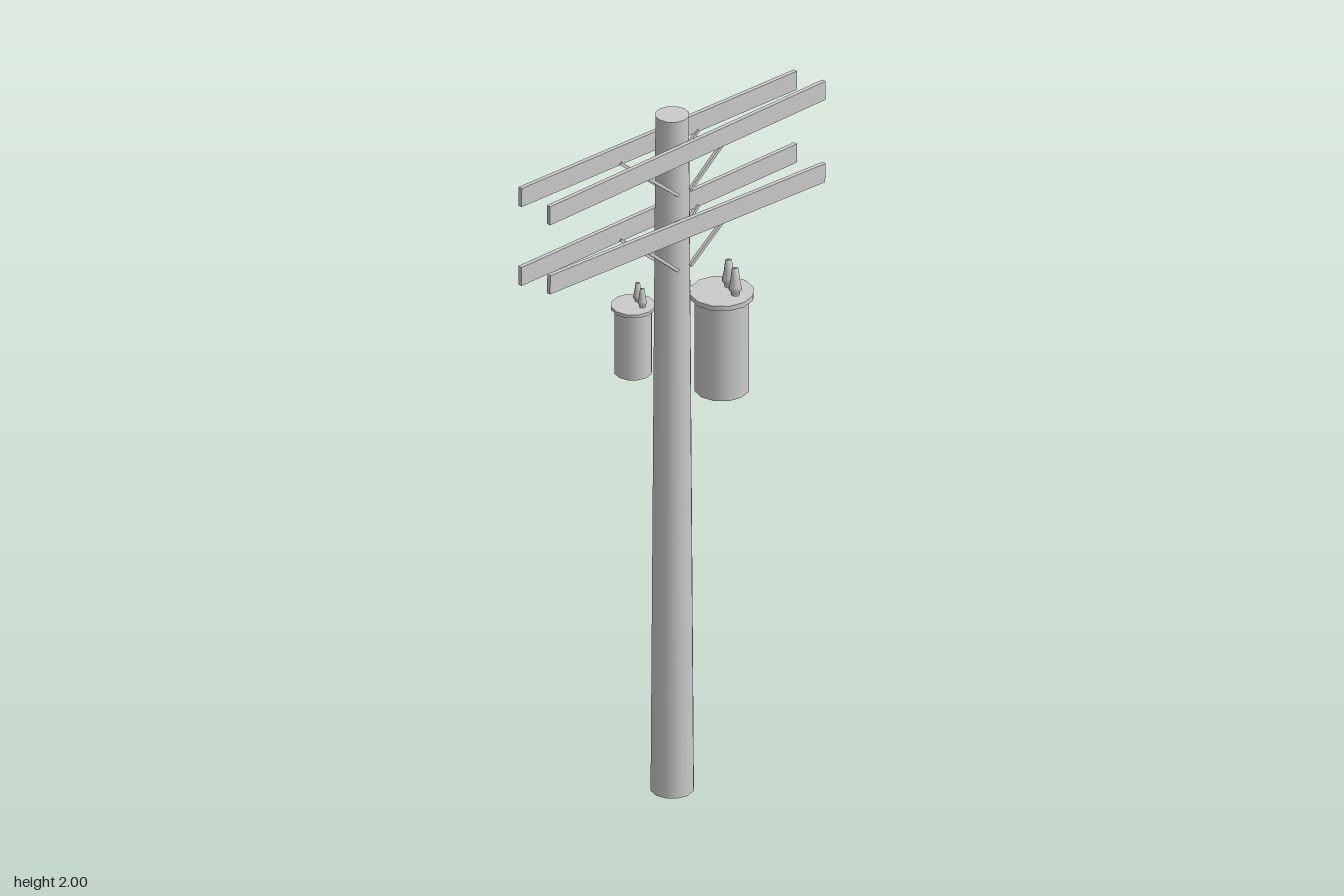
import * as THREE from 'three';

const SIDES = 12;
const POLE_Z = -0.01;

export function createModel() {
  const model = new THREE.Group();
  model.name = 'utilityPole';
  const grey = new THREE.MeshStandardMaterial({ color: 0xcccccc });
  const open = new THREE.MeshStandardMaterial({ color: 0xcccccc, side: THREE.DoubleSide });

  const add = (parent, name, geometry, x, y, z, material = grey) => {
    const mesh = new THREE.Mesh(geometry, material);
    mesh.name = name;
    mesh.position.set(x, y, z);
    parent.add(mesh);
    return mesh;
  };

  // Tapered pole, closed on top and open at the foot
  add(model, 'pole', new THREE.CylinderGeometry(0.045, 0.058, 2, SIDES, 1, true), -0.001, 1, POLE_Z, open);
  add(model, 'poleTop', new THREE.CircleGeometry(0.045, SIDES).rotateX(-Math.PI / 2), -0.001, 2, POLE_Z);

  // Thin square bar between two points
  const bar = (name, from, to, width) => {
    const a = new THREE.Vector3(...from), b = new THREE.Vector3(...to);
    const mesh = add(model, name, new THREE.BoxGeometry(width, width, a.distanceTo(b)), 0, 0, 0);
    mesh.position.copy(a).add(b).multiplyScalar(0.5);
    mesh.lookAt(b);
  };

  // Crossarms with centre heights at the -x and +x ends, each with two braces
  const arms = [
    { name: 'upperFront', side: 1, yRight: 1.907, yLeft: 1.907 },
    { name: 'upperBack', side: -1, yRight: 1.918, yLeft: 1.894 },
    { name: 'lowerFront', side: 1, yRight: 1.702, yLeft: 1.663 },
    { name: 'lowerBack', side: -1, yRight: 1.684, yLeft: 1.678 },
  ];
  for (const { name, side, yRight, yLeft } of arms) {
    const y = (yRight + yLeft) / 2;
    const slope = (yLeft - yRight) / 0.98;
    const z = side > 0 ? 0.042 : -0.066;
    const arm = add(model, name + 'Crossarm', new THREE.BoxGeometry(0.988, 0.055, 0.012), 0, y, z);
    arm.rotation.z = Math.atan(slope);
    for (const s of [-1, 1]) {
      bar(name + 'Brace',
        [s * 0.14, y - 0.022 + s * 0.14 * slope, z - side * 0.005],
        [s * 0.022, y - 0.122 + s * 0.022 * slope, POLE_Z + side * 0.043], 0.009);
    }
  }

  // Transformer can with lid and two bushings; origin at the bottom centre
  const bushing = new THREE.LatheGeometry(
    [[0.011, 0], [0.012, 0.012], [0.018, 0.018], [0.016, 0.03], [0.013, 0.045], [0.009, 0.078], [0, 0.078]]
      .map(([r, y]) => new THREE.Vector2(r, y)), 10);
  const addTransformer = (name, x, y, z, scale) => {
    const can = new THREE.Group();
    can.name = name;
    can.position.set(x, y, z);
    can.scale.setScalar(scale);
    add(can, 'tank', new THREE.CylinderGeometry(0.073, 0.073, 0.277, SIDES), 0, 0.1385, 0);
    add(can, 'lid', new THREE.CylinderGeometry(0.085, 0.085, 0.014, SIDES), 0, 0.281, 0);
    add(can, 'bushing', bushing, 0.032, 0.286, -0.008);
    add(can, 'bushing', bushing, 0.013, 0.286, 0.037);
    model.add(can);
  };
  addTransformer('largeTransformer', 0.102, 1.18, 0.069, 1);
  addTransformer('smallTransformer', -0.056, 1.222, -0.1, 0.69);

  return model;
}
